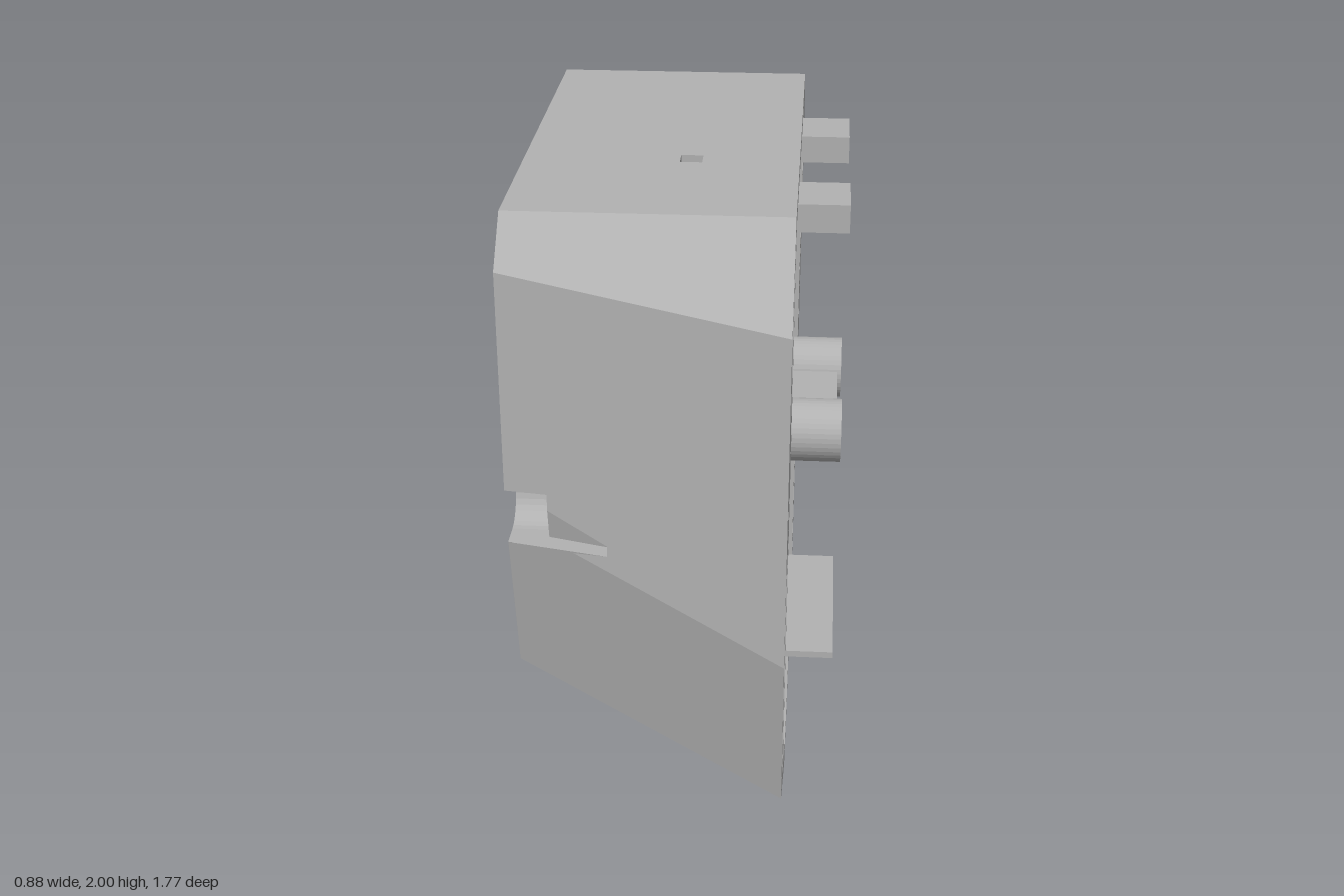
import * as THREE from 'three';

const XB = -0.44, XF = 0.30, XI = -0.335; // closed back, open rim, inner floor
const NOTCH_X = -0.17, NY = 1.1925, NR = 0.0825, NZ = 0.68; // screw notch

export function createModel() {
  const group = new THREE.Group();
  const grey = new THREE.MeshStandardMaterial({ color: 0xb2b2b2, side: THREE.DoubleSide });
  grey.name = 'plain grey';

  const add = (name, geo) => {
    const m = new THREE.Mesh(geo, grey);
    m.name = name;
    group.add(m);
    return m;
  };

  // Flat polygon from 3D corners, triangulated on two chosen axes
  const poly = (name, pts, axes = [0, 1], hole = []) => {
    const flat = (l) => l.map((p) => new THREE.Vector2(p[axes[0]], p[axes[1]]));
    const all = [...pts, ...hole];
    const tris = THREE.ShapeUtils.triangulateShape(flat(pts), hole.length ? [flat(hole)] : []);
    const geo = new THREE.BufferGeometry();
    geo.setAttribute('position', new THREE.Float32BufferAttribute(tris.flat().flatMap((i) => all[i]), 3));
    geo.computeVertexNormals();
    return add(name, geo);
  };

  // Solid with a [z, y] section running along x
  const prism = (name, pts, x0, x1, holes = []) => {
    const v = (l) => l.map(([z, y]) => new THREE.Vector2(-z, y));
    const shape = new THREE.Shape(v(pts));
    holes.forEach((h) => shape.holes.push(new THREE.Path(v(h))));
    const geo = new THREE.ExtrudeGeometry(shape, { depth: x1 - x0, bevelEnabled: false });
    geo.rotateY(Math.PI / 2).translate(x0, 0, 0);
    return add(name, geo);
  };

  const rect = (z0, z1, y0, y1) => [[z0, y0], [z1, y0], [z1, y1], [z0, y1]];
  const circle = (z, y, r, n = 32) => Array.from({ length: n }, (_, i) => {
    const a = (i / n) * Math.PI * 2;
    return [z + r * Math.cos(a), y + r * Math.sin(a)];
  });
  const flip = (pts, s) => pts.map(([z, y]) => [z * s, y]);
  const both = (half) => [...half, ...flip(half, -1).reverse()];
  const at = (x, [z, y]) => [x, y, z];

  // Rounded inner end of the screw notch, bottom to top
  const notchArc = Array.from({ length: 17 }, (_, i) => {
    const a = -Math.PI / 2 - (i / 16) * Math.PI;
    return [NZ + NR * Math.cos(a), NY + NR * Math.sin(a)];
  });

  // Outer side surface: two planes meeting on a slanting crease
  const sideZ = (x, y) => {
    const upper = 0.775 + 0.1486 * (x - XB);
    const crease = 1.2 - 0.5 * (x - XB);
    return y >= crease ? upper : upper - 0.235 * (crease - y);
  };

  // Half sections from bottom to top
  const outF = [[0.16, 0], [0.768, 0.32], [0.885, 0.83], [0.885, 1.77], [0.66, 2]];
  const outB = [[0, 0.34], [0.653, 0.68], [0.775, 1.2], [0.775, 1.88], [0.66, 2]];
  const inF = [[0.13, 0.05], [0.73, 0.36], [0.84, 0.85], [0.84, 1.76], [0.65, 1.94]];
  const inB = [[0, 0.34], [0.62, 0.68], [0.74, 1.2], [0.74, 1.85], [0.65, 1.94]];

  // Walls of the shell, outside then inside
  const topHole = (y) => [[-0.02, y, 0.18], [0.04, y, 0.18], [0.04, y, 0.24], [-0.02, y, 0.24]];
  const walls = (label, F, B, xb, apexX, notched) => {
    const apex = [apexX, F[0][1], 0];
    for (const s of [1, -1]) {
      const f = flip(F, s), b = flip(B, s);
      poly(label + 'BottomSlope', [apex, at(XF, f[0]), at(XF, f[1]), at(xb, b[1]), at(xb, b[0])], [0, 2]);
      poly(label + 'Chamfer', [at(XF, f[3]), at(XF, f[4]), at(xb, b[4]), at(xb, b[3])], [0, 1]);
      const p = (x, y) => [x, y, s * sideZ(x, y)];
      const y0 = NY - NR, y1 = NY + NR;
      const upperCut = notched ? [p(XB, y1), p(NOTCH_X, y1), p(NOTCH_X, y0), p(-0.26, y0)] : [at(xb, b[2])];
      const lowerCut = notched ? [p(-0.26, y0), p(XB, y0)] : [at(xb, b[2])];
      poly(label + 'UpperSide', [at(XF, f[3]), at(xb, b[3]), ...upperCut, at(XF, f[2])]);
      poly(label + 'LowerSide', [at(XF, f[2]), ...lowerCut, at(xb, b[1]), at(XF, f[1])]);
    }
    poly(label + 'BottomFlat', [apex, at(XF, F[0]), at(XF, flip(F, -1)[0])], [0, 2]);
    const [z, y] = F[4];
    poly(label + 'Top', [[xb, y, -z], [XF, y, -z], [XF, y, z], [xb, y, z]], [0, 2], topHole(y));
  };
  walls('outer', outF, outB, XB, 0.16, true);
  walls('inner', inF, inB, XI, 0.177, false);

  // Small square opening through the top
  const h0 = topHole(1.94), h1 = topHole(2);
  for (let i = 0; i < 4; i++) {
    const j = (i + 1) % 4;
    poly('topOpening', [h0[i], h0[j], h1[j], h1[i]], i % 2 ? [1, 2] : [0, 1]);
  }

  // Flat rim around the open side
  const ring = (l) => both(l).map((p) => at(XF, p));
  poly('rim', ring(outF), [2, 1], ring(inF));

  // Back plate in three layers, with recessed panels and a slot
  const half = [[0, 0.34], [0.653, 0.68], [0.754, NY - NR], ...notchArc, [0.775, NY + NR], [0.775, 1.88], [0.66, 2]];
  const outline = [...half, ...flip(half.slice(1), -1).reverse()];
  const panel = [[0.21, 1.82], [0.52, 1.82], [0.57, 1.62], [0.585, 1.42], [0.56, 1.23], [0.5, 1.04], [0.41, 0.85], [0.385, 0.82]];
  const trapezoid = both([[0.28, 0.74], [0.1, 1.72]]);
  const strip = both([[0.3, 0.62], [0.36, 0.77], [0.335, 0.77], [0.285, 0.65]]);
  prism('backSkin', outline, XB, -0.405, [panel, flip(panel, -1), trapezoid, strip]);
  prism('backMiddle', outline, -0.405, -0.37, [rect(-0.06, 0.06, 0.79, 1.68)]);
  prism('backFloor', outline, -0.37, XI, [rect(-0.06, 0.06, 1.32, 1.68)]);

  // Mounting pad around the slot
  prism('slotFrame', rect(-0.082, 0.082, 1.24, 1.77), XI, -0.27,
    [rect(-0.06, 0.06, 1.32, 1.68), circle(0, 1.727, 0.02, 16), circle(0, 1.285, 0.02, 16)]);
  prism('floorBlock', rect(-0.5, -0.405, 1.4, 1.63), XI, -0.3);

  for (const s of [1, -1]) {
    // Divider between the main space and the side pocket
    const d = new THREE.Shape([[XI, 1.95], [XF, 1.95], [XF, 0.24], [XI, 0.61]].map((p) => new THREE.Vector2(...p)));
    add('divider', new THREE.ExtrudeGeometry(d, { depth: 0.04, bevelEnabled: false }).translate(0, 0, s * 0.577 - 0.02));

    // Screw post: bored front part, notched rear part, trimmed to the side wall
    const trim = (m) => {
      const p = m.geometry.attributes.position;
      for (let i = 0; i < p.count; i++) {
        const lim = sideZ(p.getX(i), p.getY(i));
        if (Math.abs(p.getZ(i)) > lim) p.setZ(i, s * lim);
      }
      m.geometry.computeVertexNormals();
    };
    const low = [[0.66, 1.06], [0.625, 1.07], [0.6, 1.09], [0.575, 1.09]];
    trim(prism('screwPostFront', flip([[0.845, 1.06], ...low, [0.575, 1.31], [0.6, 1.31], [0.845, 1.765]], s),
      NOTCH_X, XF, [flip(circle(NZ, 1.19, 0.038), s)]));
    trim(prism('screwPostRear', flip([[0.9, 1.06], ...low, [0.575, 1.31], [0.6, 1.31], [0.84, 1.76],
      [0.9, NY + NR], ...notchArc.slice().reverse(), [0.9, NY - NR]], s), -0.43, NOTCH_X));

    // Round standoff and top tab
    prism('standoff', circle(s * 0.222, 1.21, 0.09, 40), XI, 0.437, [circle(s * 0.222, 1.21, 0.048)]);
    const taper = new THREE.CylinderGeometry(0.048, 0.015, 0.08, 32, 1, true);
    taper.rotateZ(-Math.PI / 2).translate(0.36, 1.21, s * 0.222);
    add('standoffTaper', taper);
    const [t0, t1] = s > 0 ? [0.205, 0.388] : [-0.393, -0.205];
    prism('topTab', rect(t0, t1, 1.863, 1.94), 0.06, 0.437);
  }

  // Web joining the standoffs, and the V-shaped lower support
  prism('standoffWeb', rect(-0.14, 0.14, 1.187, 1.232), XI, 0.425);
  prism('lowerSupport', [[0, 0.345], [0.29, 0.485], [0.29, 0.505], [-0.29, 0.505], [-0.29, 0.485]], XI, 0.437);

  return group;
}
